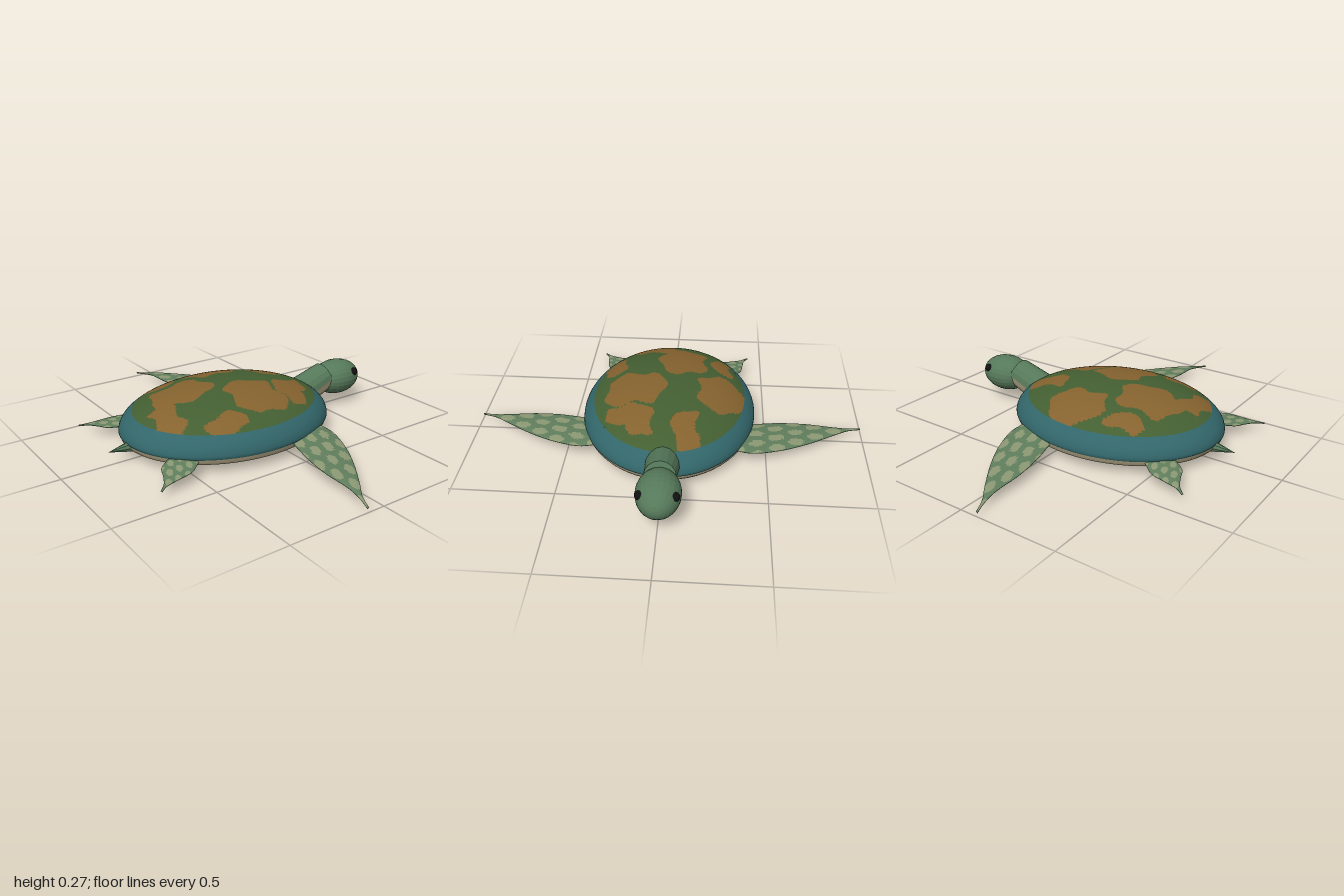
import * as THREE from 'three';

const material = (color, extra = {}) => new THREE.MeshStandardMaterial({ color, ...extra });
const GREEN = 0x56795a, CREAM = 0xa3987a;

function addMesh(parent, name, geometry, mat, position = [0, 0, 0]) {
  const mesh = new THREE.Mesh(geometry, mat);
  mesh.name = name;
  mesh.position.set(...position);
  parent.add(mesh);
  return mesh;
}

// Splits a surface into two meshes sharing smooth normals: triangles whose centre passes the test, and the rest
function split(geometry, test) {
  const p = geometry.attributes.position, idx = geometry.index.array;
  const inside = [], outside = [];
  for (let i = 0; i < idx.length; i += 3) {
    const tri = [idx[i], idx[i + 1], idx[i + 2]];
    const x = tri.reduce((s, k) => s + p.getX(k), 0) / 3;
    const z = tri.reduce((s, k) => s + p.getZ(k), 0) / 3;
    (test(x, z) ? inside : outside).push(...tri);
  }
  return [inside, outside].map((list) => geometry.clone().setIndex(list));
}

// Oval turned surface from [radius, y] points
function oval(points, segments = 64) {
  const g = new THREE.LatheGeometry(points.map(([r, y]) => new THREE.Vector2(r, y)), segments);
  return g.scale(0.555, 1, 0.445);
}

const domePoints = (a0, a1, n) => Array.from({ length: n + 1 }, (_, i) => {
  const a = THREE.MathUtils.lerp(a0, a1, i / n);
  return [Math.cos(a), 0.088 + 0.187 * Math.sin(a)];
});

// Brown blotches on the shell: x, z, radius x, radius z (relative to the shell centre)
const blotches = [
  [0.06, -0.27, 0.14, 0.12], [-0.22, -0.06, 0.15, 0.12], [0.06, 0.17, 0.13, 0.15],
  [0.36, -0.10, 0.13, 0.06], [0.31, 0.12, 0.10, 0.06], [0.25, 0.23, 0.06, 0.08],
  [-0.39, 0.10, 0.06, 0.12], [-0.19, 0.30, 0.09, 0.06], [-0.22, -0.27, 0.10, 0.05],
];
const isBlotch = (x, z) => {
  const wx = x + 0.018 * Math.sin(z * 38 + x * 9), wz = z + 0.015 * Math.sin(x * 34);
  return blotches.some(([cx, cz, rx, rz]) =>
    Math.abs((wx - cx) / rx) ** 3 + Math.abs((wz - cz) / rz) ** 3 < 1);
};

function makeShell() {
  const shell = new THREE.Group();
  shell.name = 'shell';
  shell.position.x = -0.115;
  const edge = 0.51; // angle where the teal border meets the patterned top
  addMesh(shell, 'shellBorder', oval([[0.985, 0.08], ...domePoints(0, edge, 8)]), material(0x32666a));
  const [brown, green] = split(oval(domePoints(edge, Math.PI / 2, 48), 144), isBlotch);
  addMesh(shell, 'shellBlotches', brown, material(0x86632f));
  addMesh(shell, 'shellTop', green, material(0x445f32));
  addMesh(shell, 'rimBand', oval([[0.965, 0.055], [0.985, 0.068], [0.99, 0.09]]), material(CREAM));
  addMesh(shell, 'belly', oval([[0, 0.007], [0.3, 0.009], [0.6, 0.018], [0.85, 0.036], [0.965, 0.056]]),
    material(0x8a7d68));
  return shell;
}

// Staggered oval spots on the flippers
const spotTest = (w, h) => (x, z) => {
  const row = Math.floor(Math.abs(z) / h);
  const u = (((x + Math.abs(z) * 0.25) / w + (row % 2) / 2 + 20) % 1) - 0.5;
  const v = Math.abs(z) / h - row - 0.5;
  return (u / 0.31) ** 2 + (v / 0.4) ** 2 < 1;
};

// Lens-section flipper between a leading and a trailing edge, given as [x, distance from the centre line]
function makeFlipper(name, side, { lead, trail, y, thickness, spots }) {
  const curve = (pts) => new THREE.CatmullRomCurve3(pts.map(([x, z]) => new THREE.Vector3(x, 0, z * side)));
  const a = curve(lead), b = curve(trail);
  const rows = 56, ring = 48, pos = [], idx = [];
  for (let i = 0; i <= rows; i++) {
    const t = i / rows, p = a.getPoint(t), q = b.getPoint(t);
    const half = thickness / 2 * (1 - 0.8 * t);
    for (let j = 0; j < ring; j++) {
      const angle = j / ring * Math.PI * 2;
      const v = q.clone().lerp(p, 0.5 + 0.5 * Math.cos(angle));
      pos.push(v.x, THREE.MathUtils.lerp(y[0], y[1], t) + half * Math.sin(angle), v.z);
      if (i === rows) continue;
      const k = i * ring + j, k1 = i * ring + (j + 1) % ring;
      if (side > 0) idx.push(k, k1, k + ring, k1, k1 + ring, k + ring);
      else idx.push(k, k + ring, k1, k1, k + ring, k1 + ring);
    }
  }
  const g = new THREE.BufferGeometry();
  g.setAttribute('position', new THREE.Float32BufferAttribute(pos, 3));
  g.setIndex(idx);
  g.computeVertexNormals();
  const flipper = new THREE.Group();
  flipper.name = name;
  const [pale, skin] = split(g, spotTest(...spots));
  addMesh(flipper, name + 'Spots', pale, material(0x8b9873));
  addMesh(flipper, name + 'Skin', skin, material(0x5f7d5c));
  return flipper;
}

const frontFlipper = {
  lead: [[0.20, 0.30], [0.22, 0.42], [0.175, 0.57], [0.10, 0.71], [0.0, 0.855], [-0.055, 0.93], [-0.085, 1.0]],
  trail: [[0.0, 0.30], [-0.02, 0.42], [-0.055, 0.57], [-0.07, 0.71], [-0.066, 0.855], [-0.074, 0.93], [-0.095, 1.0]],
  y: [0.088, 0.025], thickness: 0.036, spots: [0.075, 0.1],
};
const rearFlipper = {
  lead: [[-0.42, 0.27], [-0.49, 0.335], [-0.545, 0.378], [-0.62, 0.392], [-0.685, 0.402], [-0.725, 0.425]],
  trail: [[-0.52, 0.18], [-0.59, 0.23], [-0.64, 0.27], [-0.665, 0.33], [-0.695, 0.385], [-0.73, 0.418]],
  y: [0.08, 0.046], thickness: 0.03, spots: [0.05, 0.06],
};

export function createModel() {
  const turtle = new THREE.Group();
  turtle.name = 'turtle';
  turtle.add(makeShell());

  // Neck: green upper half, pale lower half
  const neck = new THREE.Group();
  neck.name = 'neck';
  neck.position.set(0.43, 0.134, 0);
  neck.rotation.z = -THREE.MathUtils.degToRad(70);
  turtle.add(neck);
  [['neckTop', Math.PI, GREEN], ['neckUnderside', 0, CREAM]].forEach(([name, start, color]) =>
    addMesh(neck, name, new THREE.CylinderGeometry(0.075, 0.088, 0.23, 8, 1, false, start, Math.PI),
      material(color, { flatShading: true })));

  // Head and eyes
  const head = new THREE.SphereGeometry(1, 24, 16).rotateZ(-Math.PI / 2).scale(0.14, 0.094, 0.105);
  addMesh(turtle, 'head', head, material(GREEN, { flatShading: true }), [0.625, 0.152, 0]);
  for (const side of [1, -1]) {
    const label = side > 0 ? 'Near' : 'Far';
    addMesh(turtle, 'eye' + label, new THREE.SphereGeometry(0.021, 14, 10), material(0x111111),
      [0.685, 0.188, side * 0.08]);
    turtle.add(makeFlipper('frontFlipper' + label, side, frontFlipper));
    turtle.add(makeFlipper('rearFlipper' + label, side, rearFlipper));
  }

  // Tail
  const tail = new THREE.ConeGeometry(0.034, 0.14, 8).rotateZ(Math.PI / 2);
  addMesh(turtle, 'tail', tail, material(GREEN, { flatShading: true }), [-0.695, 0.073, 0]);
  return turtle;
}
